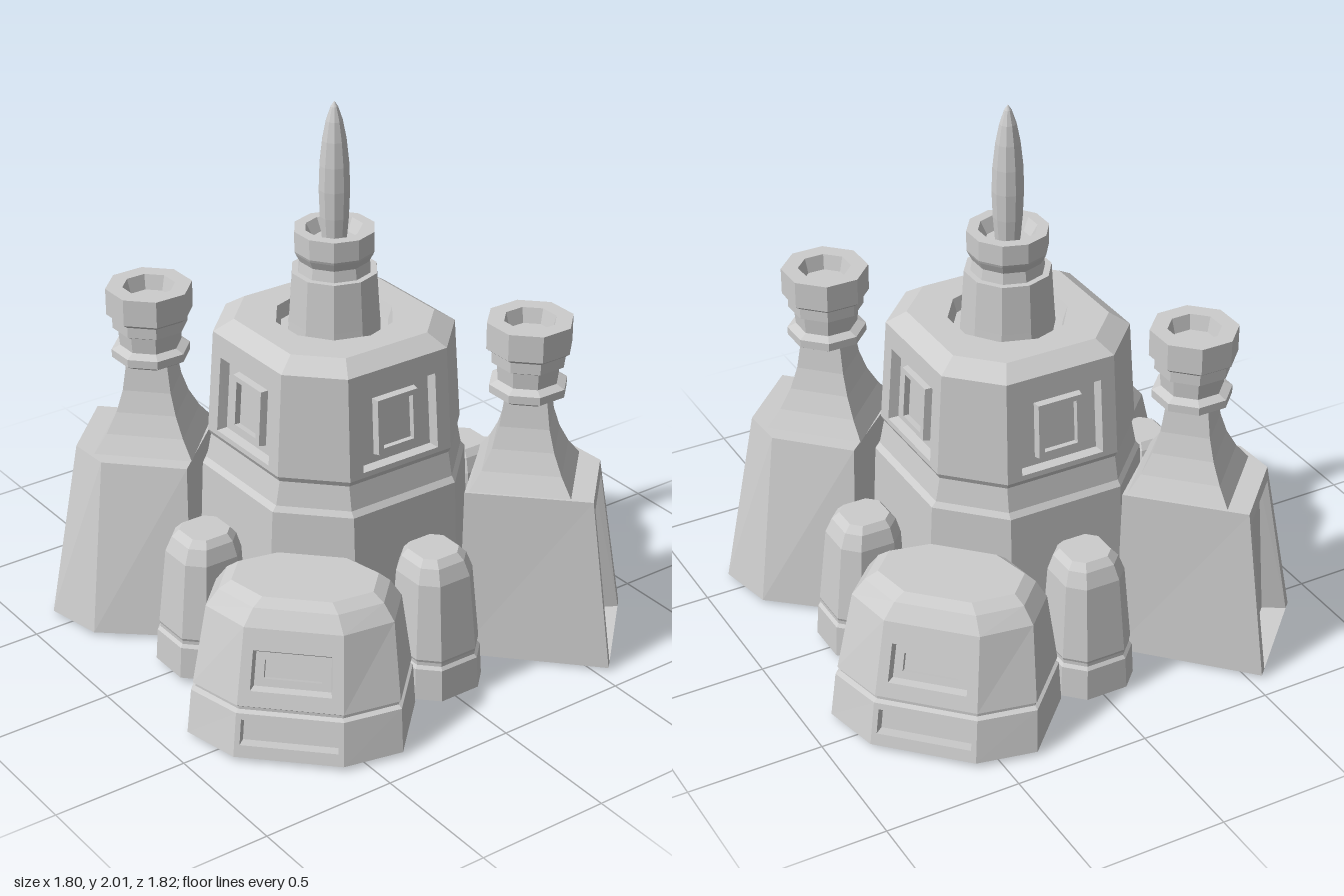
import * as THREE from 'three';

const V = (x, y, z) => new THREE.Vector3(x, y, z);
const stone = new THREE.MeshStandardMaterial({ color: 0xcccccc, side: THREE.DoubleSide });
stone.name = 'pale grey';

function mesh(name, geometry) {
  const flat = geometry.index ? geometry.toNonIndexed() : geometry;
  flat.computeVertexNormals(); // unshared corners give flat facets
  const m = new THREE.Mesh(flat, stone);
  m.name = name;
  return m;
}

// Nested recesses in a wall quad; each step is [s0, s1, t0, t1, depthBottom, depthTop]
function insetQuad(out, corners, steps) {
  const [a, b, c, d] = corners;
  const n = b.clone().sub(a).cross(d.clone().sub(a)).normalize();
  const at = (s, t, depth) => a.clone().lerp(b, s)
    .lerp(d.clone().lerp(c, s), t).addScaledVector(n, -depth);
  let prev = corners;
  for (const [s0, s1, t0, t1, e0, e1] of steps) {
    const next = [at(s0, t0, e0), at(s1, t0, e0), at(s1, t1, e1), at(s0, t1, e1)];
    for (let i = 0; i < 4; i++) {
      const j = (i + 1) % 4;
      quad(out, prev[i], prev[j], next[j], next[i]);
    }
    prev = next;
  }
  quad(out, ...prev);
}

function quad(out, a, b, c, d) {
  out.push(a, b, c, a, c, d);
}

// Skin stacked rings; insets are keyed 'ring:side'
function loft(name, rings, insets = {}, capped = true) {
  const out = [];
  for (let r = 0; r + 1 < rings.length; r++) {
    const lo = rings[r], hi = rings[r + 1];
    lo.forEach((p, i) => {
      const j = (i + 1) % lo.length;
      insetQuad(out, [p, lo[j], hi[j], hi[i]], insets[r + ':' + i] || []);
    });
  }
  if (capped) {
    const top = rings[rings.length - 1];
    for (let i = 1; i + 1 < top.length; i++) out.push(top[0], top[i], top[i + 1]);
  }
  return mesh(name, new THREE.BufferGeometry().setFromPoints(out));
}

// Eight-sided ring: half width, half flat, back/front faces, back/front corner depths
const octagon = ([y, w, f, back, front, cb, cf]) => [
  [-f, front], [f, front], [w, cf], [w, cb], [f, back], [-f, back], [-w, cb], [-w, cf],
].map(([x, z]) => V(x, y, z));

const lathe = (name, profile, sides, start = 0) => mesh(name, new THREE.LatheGeometry(
  profile.map(([r, y]) => new THREE.Vector2(r, y)), sides, start));

function createKeep() {
  const g = new THREE.Group();
  g.name = 'keep';
  g.position.z = -0.015;
  const rings = [
    [0, 0.455, 0.225], [0.64, 0.425, 0.222], [0.66, 0.408, 0.22], [0.75, 0.39, 0.217],
    [0.77, 0.4, 0.22], [1.155, 0.375, 0.212], [1.2, 0.31, 0.175],
  ].map(([y, h, f]) => octagon([y, h, f, -h, h, -f, f]));

  // Framed window on each of the four main walls
  const windowSteps = [
    [0.13, 0.87, 0.05, 0.79, 0, 0], [0.15, 0.85, 0.07, 0.77, 0.035, 0.035],
    [0.29, 0.71, 0.15, 0.7, 0.035, 0.035], [0.3, 0.7, 0.16, 0.69, 0.008, 0.008],
    [0.35, 0.65, 0.21, 0.64, 0.008, 0.008], [0.35, 0.65, 0.21, 0.64, 0.03, 0.03],
  ];
  const insets = {};
  for (const side of [0, 2, 4, 6]) insets['4:' + side] = windowSteps;
  g.add(loft('keepWalls', rings, insets, false));

  // Flat roof with a ten-sided well around the neck
  const roof = new THREE.Shape(rings[6].map(p => new THREE.Vector2(p.x, -p.z)));
  const well = Array.from({ length: 10 }, (_, i) => {
    const a = i * Math.PI / 5;
    return new THREE.Vector2(0.215 * Math.sin(a), 0.215 * Math.cos(a));
  });
  roof.holes.push(new THREE.Path(well));
  const roofMesh = mesh('keepRoof', new THREE.ShapeGeometry(roof).rotateX(-Math.PI / 2));
  roofMesh.position.y = 1.2;
  g.add(roofMesh);

  g.add(lathe('keepNeck', [
    [0.215, 1.2], [0.2, 1.15], [0.172, 1.15], [0.168, 1.2], [0.156, 1.38], [0.133, 1.38],
    [0.126, 1.42], [0.142, 1.45], [0.146, 1.46], [0.146, 1.535], [0.105, 1.535],
    [0.08, 1.49], [0, 1.49],
  ], 10));
  g.add(lathe('spire', [
    [0.044, 1.48], [0.053, 1.58], [0.057, 1.68], [0.054, 1.77], [0.044, 1.86],
    [0.03, 1.93], [0.013, 1.98], [0, 2],
  ], 10));
  return g;
}

// Corner tower: five-sided flared base, curved pyramid and octagonal turret
function createTower() {
  const g = new THREE.Group();
  g.name = 'cornerTower';
  const bottom = [[-0.26, 1.03], [0.204, 1.035], [0.325, 0.85], [0.297, 0.49], [-0.25, 0.485]];
  const top = [[-0.22, 0.945], [0.1, 0.945], [0.21, 0.825], [0.21, 0.51], [-0.22, 0.49]];
  const ring = (pts, y) => pts.map(([x, z]) => V(x, y, z));
  g.add(loft('towerBase', [ring(bottom, 0), ring(top, 0.65)], {
    '0:0': [[0.09, 0.92, 0, 0.93, 0, 0], [0.1, 0.91, 0, 0.92, 0.09, 0.03]],
  }));
  const upper = new THREE.Group();
  upper.name = 'towerTop';
  upper.position.set(-0.03, 0, 0.685);
  upper.add(lathe('towerPyramid', [
    [0.255, 0.65], [0.2, 0.715], [0.155, 0.79], [0.125, 0.87], [0.105, 0.98],
  ], 4, Math.PI / 4));
  const k = 1 / Math.cos(Math.PI / 8);
  upper.add(lathe('turret', [
    [0, 0.965], [0.1, 0.965], [0.132, 0.985], [0.132, 1.015], [0.103, 1.03], [0.108, 1.09],
    [0.126, 1.1], [0.126, 1.14], [0.145, 1.155], [0.145, 1.255], [0.088, 1.255],
    [0.075, 1.2], [0, 1.2],
  ].map(([r, y]) => [r * k, y]), 8, Math.PI / 8));
  g.add(upper);
  return g;
}

// Broad bunker with a plinth, a groove and stepped slots in the outer face
const createBunker = () => loft('bunker', [
  [0.005, 0.375, 0.19, 0.45, 1.02, 0.59, 0.9],
  [0.16, 0.365, 0.185, 0.455, 0.985, 0.592, 0.87],
  [0.167, 0.352, 0.18, 0.467, 0.968, 0.598, 0.855],
  [0.178, 0.352, 0.18, 0.467, 0.968, 0.598, 0.855],
  [0.185, 0.36, 0.183, 0.458, 0.977, 0.594, 0.862],
  [0.45, 0.325, 0.17, 0.478, 0.9, 0.61, 0.785],
  [0.505, 0.285, 0.145, 0.505, 0.86, 0.61, 0.76],
  [0.53, 0.245, 0.12, 0.53, 0.825, 0.61, 0.735],
].map(octagon), {
  '0:0': [[0.05, 0.95, 0.28, 0.86, 0, 0], [0.06, 0.94, 0.32, 0.82, 0.04, 0.04]],
  '4:0': [
    [0.11, 0.89, 0.2, 0.72, 0, 0], [0.13, 0.87, 0.24, 0.68, 0.03, 0.03],
    [0.22, 0.78, 0.34, 0.58, 0.03, 0.03], [0.22, 0.78, 0.34, 0.58, 0.05, 0.05],
  ],
});

// Small pod between the corners, leaning slightly towards the keep
const createPod = () => loft('pod', [
  [0.01, 0.148, 0.08, 0.595], [0.13, 0.143, 0.077, 0.593], [0.142, 0.134, 0.073, 0.592],
  [0.155, 0.134, 0.073, 0.592], [0.165, 0.138, 0.075, 0.591], [0.45, 0.118, 0.065, 0.582],
  [0.505, 0.1, 0.055, 0.578], [0.53, 0.078, 0.044, 0.575],
].map(([y, h, f, c]) => octagon([y, h, f, c - h, c + h, c - f, c + f])));

export function createModel() {
  const model = new THREE.Group();
  model.name = 'fortress';
  model.add(createKeep());
  const place = (part, angle) => {
    part.rotation.y = angle;
    model.add(part);
  };
  for (const half of [0, Math.PI]) {
    place(createTower(), half + Math.PI / 4);
    place(createBunker(), half - Math.PI / 4);
    place(createPod(), half);
    place(createPod(), half + Math.PI / 2);
  }
  return model;
}
